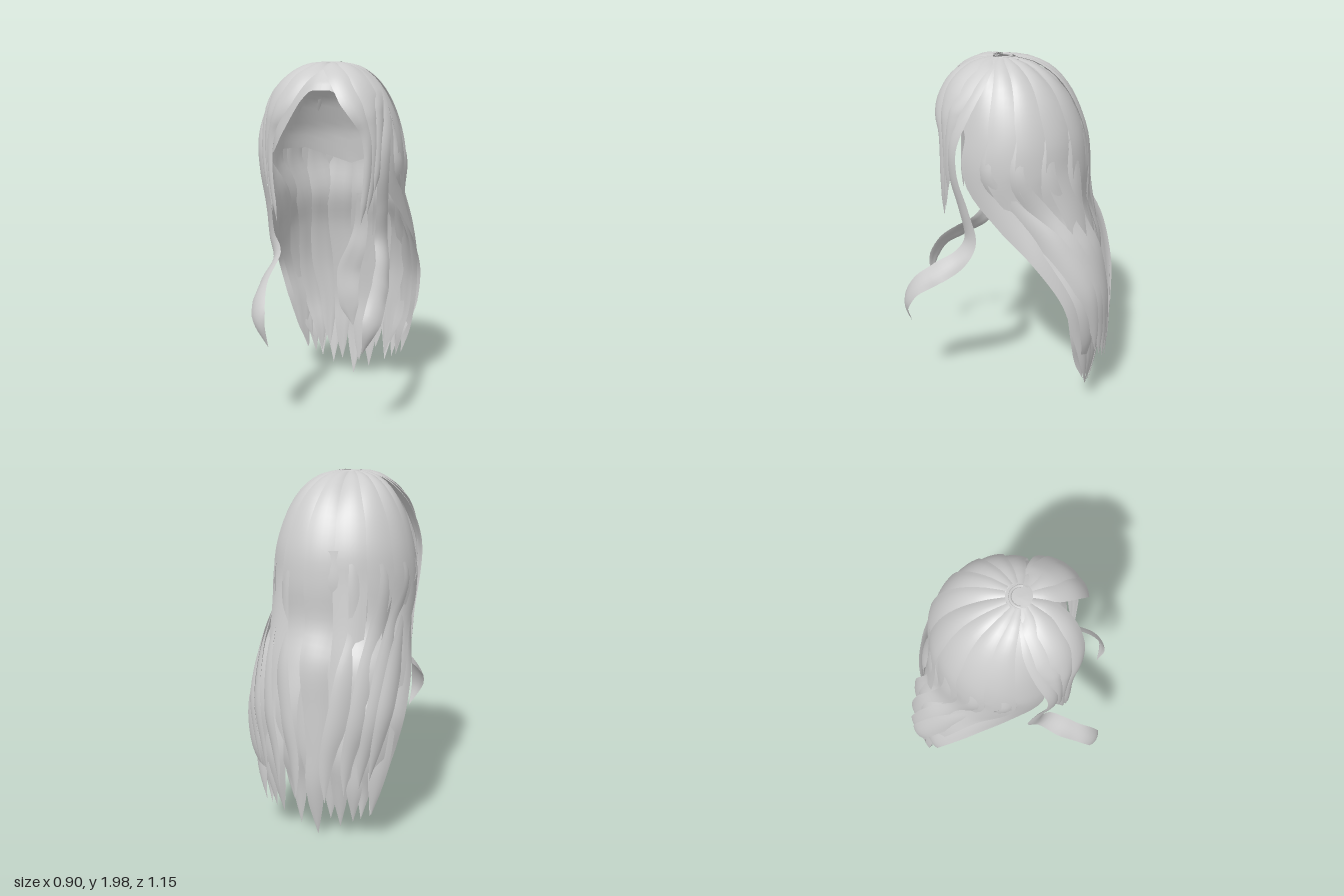
import * as THREE from 'three';

const V = (x, y, z) => new THREE.Vector3(x, y, z);
const lerp = THREE.MathUtils.lerp;
const rad = THREE.MathUtils.degToRad;

// Head profile: radius, height, z of the centre
const HEAD = [[0.065, 1.983, 0.05], [0.15, 1.96, 0.03], [0.235, 1.89, 0], [0.305, 1.78, -0.02],
  [0.365, 1.6, -0.035], [0.388, 1.42, -0.035]];
// Hanging hair: height, half width, z at the sides, z at the back
const FALL = [[1.2, 0.375, -0.03, -0.425], [1.0, 0.395, -0.23, -0.48], [0.75, 0.395, -0.4, -0.51],
  [0.5, 0.36, -0.44, -0.52], [0.32, 0.325, -0.45, -0.5]];

const headPoint = ([r, y, c], a, k = 1) => V(Math.sin(a) * r * k, y, c + Math.cos(a) * r * k);

function fallPoint([y, X, zSide, zBack], s) {
  const t = s * Math.PI / 2;
  return V(X * Math.pow(Math.max(0, Math.cos(t)), 0.8), y, lerp(zSide, zBack, Math.pow(Math.sin(t), 0.8)));
}

// Piecewise linear lookup in [u, value] pairs
function lookup(table, u) {
  for (let i = 1; i < table.length; i++) {
    const [a, va] = table[i - 1], [b, vb] = table[i];
    if (u <= b) return lerp(va, vb, (u - a) / (b - a));
  }
  return table[table.length - 1][1];
}

// Sweeps a crescent section along a path; tilt lifts one edge like a shingle
function lockGeometry(points, widths, { thick = 0.016, bulge = 0.013, tilt = 0, rows = 44 } = {}) {
  const curve = new THREE.CatmullRomCurve3(points, false, 'centripetal');
  const pos = [], index = [], n = 6, ring = 2 * (n + 1);
  for (let i = 0; i <= rows; i++) {
    const u = i / rows, P = curve.getPointAt(u), T = curve.getTangentAt(u);
    const N = V(P.x, P.y - Math.min(P.y, 1.5), P.z + 0.05);
    N.addScaledVector(T, -N.dot(T)).normalize();
    const B = T.clone().cross(N);
    const w = Math.max(lookup(widths, u), 0.001) / 2, f = Math.min(1, w / 0.05);
    for (let j = 0; j < ring; j++) {
      const outer = j <= n;
      const q = outer ? j / n * 2 - 1 : 1 - (j - n - 1) / n * 2;
      const arch = 1 - q * q;
      const h = f * (arch * bulge + q * tilt - (outer ? 0 : thick * Math.sqrt(arch)));
      const p = P.clone().addScaledVector(B, q * w).addScaledVector(N, h);
      pos.push(p.x, p.y, p.z);
    }
  }
  for (let i = 0; i < rows; i++) {
    for (let j = 0; j < ring - 1; j++) {
      if (j === n) continue;
      const a = i * ring + j, b = a + 1, c = a + ring, d = c + 1;
      index.push(a, b, d, a, d, c);
    }
  }
  const g = new THREE.BufferGeometry();
  g.setAttribute('position', new THREE.Float32BufferAttribute(pos, 3));
  g.setIndex(index);
  g.computeVertexNormals();
  return g;
}

// Scalp shell, cut high over the face and dipping to a point at the nape
function capGeometry() {
  const g = new THREE.PlaneGeometry(1, 1, 72, 24), p = g.attributes.position, uv = g.attributes.uv;
  const radii = HEAD.map(([r, y]) => [-y, r]), centres = HEAD.map(([, y, c]) => [-y, c]);
  for (let i = 0; i < p.count; i++) {
    const a = uv.getX(i) * Math.PI * 2, v = 1 - uv.getY(i);
    const off = Math.abs(Math.PI - Math.abs(a - Math.PI)) * 180 / Math.PI;
    const low = lerp(1.85, 1.5, THREE.MathUtils.smoothstep(off, 10, 65)) - 0.1 * Math.max(0, off - 135) / 45;
    const y = lerp(1.983, low, v * v);
    const r = lookup(radii, -y) * 0.965 * Math.min(1, v * 8), c = lookup(centres, -y);
    const brow = 0.045 * v * v * (1 - THREE.MathUtils.smoothstep(off, 10, 50));
    p.setXYZ(i, Math.sin(a) * r, y - 0.014, c + Math.cos(a) * r + brow);
  }
  g.computeVertexNormals();
  return g;
}

export function createModel() {
  const model = new THREE.Group();
  const hair = new THREE.MeshStandardMaterial({ color: 0xcccccc, side: THREE.DoubleSide });
  hair.name = 'hair grey';
  const add = (name, geometry) => {
    const mesh = new THREE.Mesh(geometry, hair);
    mesh.name = name;
    model.add(mesh);
    return mesh;
  };
  const mirror = (pts, m) => pts.map(p => V(p.x * m, p.y, p.z));

  add('scalpCap', capGeometry());

  // Raised rim round the crown opening
  const rim = add('crownRim', new THREE.TorusGeometry(0.057, 0.008, 8, 28, Math.PI));
  rim.rotation.x = -Math.PI / 2;
  rim.position.set(0, 1.983, 0.065);

  // Main locks run from the crown over the head and sweep back
  const mainWidth = [[0, 0.04], [0.08, 0.09], [0.2, 0.165], [0.35, 0.185], [0.55, 0.155], [0.82, 0.125], [0.92, 0.075], [1, 0]];
  for (const m of [1, -1]) {
    for (let i = 0; i <= 5; i++) {
      if (i === 5 && m < 0) continue;
      const s = i / 5, a = rad(64 + 116 * s), wave = (k) => 0.014 * Math.sin(i * 2.3 + k * 1.7 + m);
      const pts = HEAD.map(h => headPoint(h, a));
      FALL.forEach((f, k) => pts.push(fallPoint(f, s).add(V(wave(k), 0, wave(k + 2)))));
      const end = pts[pts.length - 1];
      pts.push(V(end.x * 0.93, 0.012 + 0.5 * end.x, -0.47));
      add('mainLock', lockGeometry(mirror(pts, m), mainWidth, { tilt: 0.011 * m }));
    }
  }

  // Inner locks hang from the nape behind the face
  const innerWidth = [[0, 0.13], [0.2, 0.15], [0.6, 0.14], [0.82, 0.1], [0.93, 0.055], [1, 0]];
  for (const m of [1, -1]) {
    for (let i = 0; i < 5; i++) {
      const s = 0.12 + i * 0.2, a = rad(65 + 115 * s);
      const pts = [headPoint(HEAD[4], a, 0.985), headPoint(HEAD[5], a, 0.985)];
      FALL.forEach((f, k) => {
        const p = fallPoint(f, s);
        pts.push(V(p.x * 0.94 + 0.012 * Math.sin(i * 1.9 + k * 2 + m), p.y, p.z + 0.025 + 0.01 * k * (1 - k / 5)));
      });
      const end = pts[pts.length - 1];
      pts.push(V(end.x * 0.93, 0.09 + 0.06 * (i % 2) + 0.33 * end.x, -0.455));
      add('innerLock', lockGeometry(mirror(pts, m), innerWidth, { rows: 32 }));
    }
  }

  // Short lock curling inwards at the middle of the nape
  add('napeLock', lockGeometry([V(0.06, 1.2, -0.4), V(0.06, 1, -0.43), V(0.03, 0.85, -0.43), V(-0.02, 0.7, -0.44),
    V(-0.02, 0.52, -0.43), V(0.01, 0.34, -0.44)], [[0, 0.06], [0.3, 0.1], [0.6, 0.15], [0.85, 0.12], [1, 0]]));

  // Outer locks emerge from the sides and sweep diagonally over the back
  const outerWidth = [[0, 0.06], [0.25, 0.11], [0.55, 0.125], [0.75, 0.11], [0.9, 0.06], [1, 0]];
  for (const m of [1, -1]) {
    for (let i = 0; i < 4; i++) {
      const s = 0.02 + i * 0.21 + (m < 0 ? 0.05 : 0), a = rad(70 + 115 * s);
      const pts = [headPoint(HEAD[3], a, 0.95), headPoint(HEAD[4], a, 0.985), headPoint(HEAD[5], a, 1.015)];
      FALL.slice(0, 4).forEach((f, k) => {
        const p = fallPoint(f, Math.min(0.97, s + 0.07 * k));
        pts.push(V(p.x * 1.01, p.y + 0.04 - 0.025 * i, p.z - 0.012 - 0.01 * k));
      });
      const end = pts[pts.length - 1];
      pts.push(V(end.x * 0.92, 0.4 - 0.05 * i, end.z - 0.005));
      add('outerLock', lockGeometry(mirror(pts, m), outerWidth, { tilt: -0.01 * m, rows: 34 }));
    }
  }

  // Parted fringe, ending in short locks beside the face
  const fringe = [
    [V(0.03, 1.975, 0.11), V(0.055, 1.955, 0.2), V(0.122, 1.888, 0.3), V(0.208, 1.75, 0.35), V(0.265, 1.6, 0.335), V(0.27, 1.4, 0.34), V(0.235, 1.13, 0.345)],
    [V(0.045, 1.978, 0.1), V(0.12, 1.95, 0.19), V(0.2, 1.87, 0.27), V(0.265, 1.74, 0.305), V(0.295, 1.58, 0.31), V(0.29, 1.4, 0.315), V(0.265, 1.18, 0.33)],
    [V(0.055, 1.978, 0.09), V(0.145, 1.945, 0.15), V(0.235, 1.86, 0.215), V(0.295, 1.75, 0.26), V(0.318, 1.62, 0.285), V(0.32, 1.48, 0.295), V(0.3, 1.3, 0.305)],
  ];
  const fringeWidth = [[0, 0.065], [0.12, 0.135], [0.35, 0.16], [0.5, 0.085], [0.65, 0.055], [0.9, 0.04], [1, 0]];
  // Long face locks that curl forward at the ends
  const faceLock = [V(0.06, 1.978, 0.07), V(0.17, 1.94, 0.11), V(0.265, 1.84, 0.16), V(0.322, 1.7, 0.225), V(0.348, 1.56, 0.265),
    V(0.34, 1.4, 0.265), V(0.325, 1.2, 0.215), V(0.315, 1.02, 0.185), V(0.335, 0.92, 0.24), V(0.355, 0.82, 0.38),
    V(0.355, 0.73, 0.5), V(0.335, 0.61, 0.56), V(0.29, 0.475, 0.545)];
  const faceWidth = [[0, 0.04], [0.12, 0.11], [0.22, 0.11], [0.32, 0.07], [0.55, 0.085], [0.75, 0.125], [0.9, 0.105], [1, 0]];
  for (const m of [1, -1]) {
    fringe.forEach(pts => add('fringeLock', lockGeometry(mirror(pts, m), fringeWidth, { bulge: 0.018, tilt: 0.007 * m })));
    const side = faceLock.map(p => V(p.x - (m < 0 && p.y < 1 ? 0.065 : 0), p.y, p.z));
    add('faceLock', lockGeometry(mirror(side, m), faceWidth, { thick: 0.014, rows: 60 }));
  }
  return model;
}
